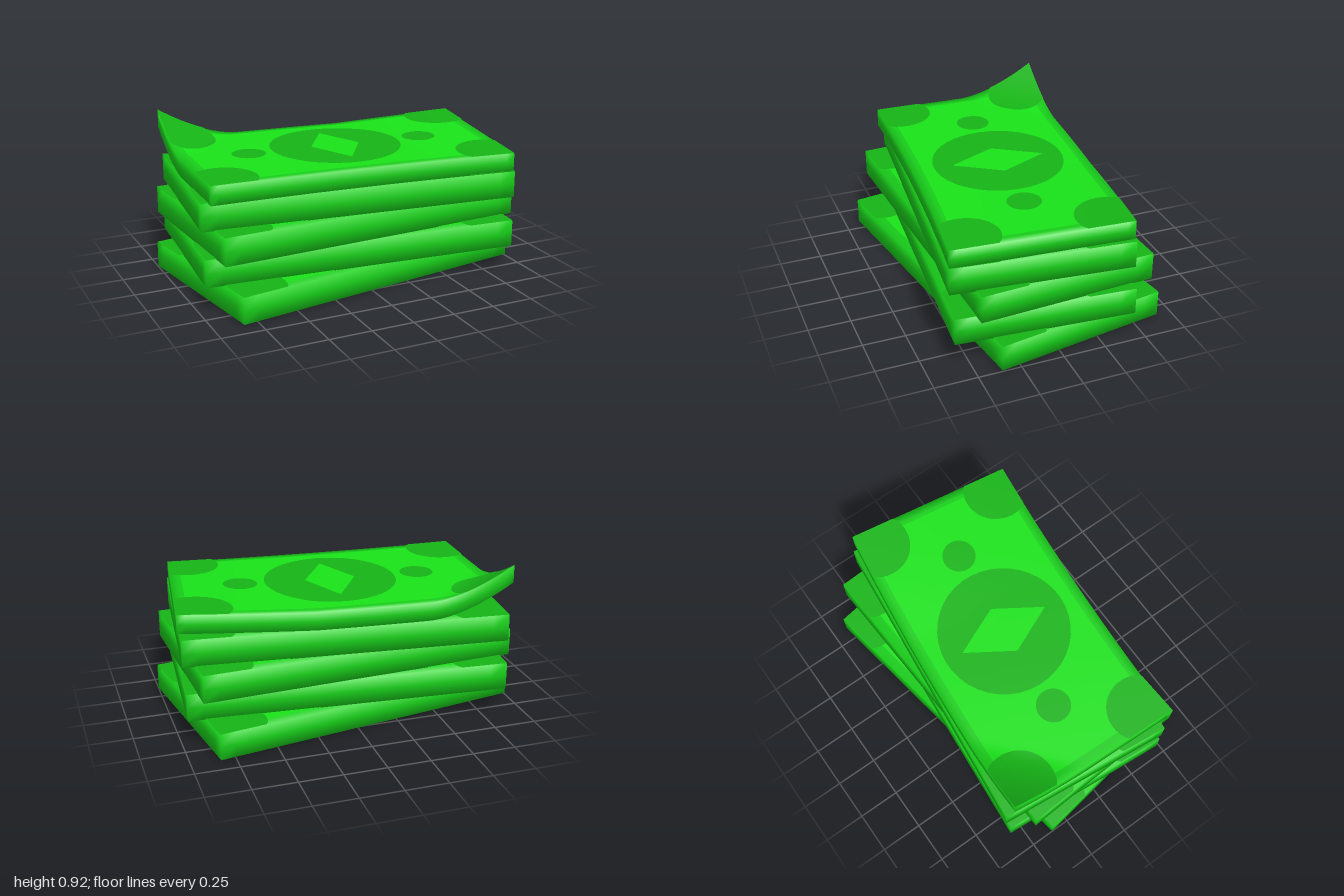
import * as THREE from 'three';
import { mergeVertices } from 'three/addons/utils/BufferGeometryUtils.js';

const W = 1.86, D = 1.034; // note size
const { lerp, clamp } = THREE.MathUtils;

const material = (name, color) => {
  const m = new THREE.MeshStandardMaterial({ color });
  m.name = name;
  return m;
};

// Moves every vertex by a rule (x, y, z) => [x, y, z]
function bend(geo, rule) {
  const p = geo.attributes.position;
  for (let i = 0; i < p.count; i++) p.setXYZ(i, ...rule(p.getX(i), p.getY(i), p.getZ(i)));
  geo.computeVertexNormals();
  return geo;
}

// Top bundle: skewed and slightly bowed outline, raised back left-hand end and a curled corner
function curl(x, y, z) {
  const s = x / W + 0.5, t = z / D + 0.5;
  const px = lerp(lerp(-0.9, 0.995, s), lerp(-0.935, 0.865, s), t);
  const pz = lerp(lerp(-0.575, -0.395, s), lerp(0.465, 0.605, s), t);
  const bow = 0.025 * (1 - (2 * s - 1) ** 2);
  const rise = 0.036 * Math.max(0, (s - 0.6) / 0.4) * (1 - t);
  const c = Math.max(0, 1 - (s * W) / 0.48 - (t * D) / 0.48);
  return [px, y + rise + 0.183 * Math.pow(c, 1.7), pz - bow];
}

// Flat disc lying face up
function disc(r, x, z, sides = 40) {
  return new THREE.RingGeometry(0, r, sides, 8).rotateX(-Math.PI / 2).translate(x, 0, z);
}

// Trims a flat plate at the edges of the note
const trim = (x, y, z) => [clamp(x, -W / 2, W / 2), y, clamp(z, -D / 2, D / 2)];

// Printed plates of one face: [name, geometry, material key, layer height]
function printedPlates() {
  const plates = [
    ['printedPanel', new THREE.PlaneGeometry(1.73, 0.92, 36, 20).rotateX(-Math.PI / 2), 'panel', 0.003],
    ['medallion', disc(0.39, 0, 0), 'print', 0.005],
    ['medallionDiamond', disc(1, 0, 0, 4).scale(0.15, 1, 0.28), 'panel', 0.007],
  ];
  for (const sx of [-1, 1]) {
    plates.push(['sideDot', disc(0.1, sx * 0.535, 0, 28), 'print', 0.005]);
    for (const sz of [-1, 1]) {
      const patch = disc(0.2, sx * (W / 2 - 0.11), sz * (D / 2 - 0.11));
      plates.push(['cornerPatch', bend(patch, trim), 'print', 0.005]);
    }
  }
  return plates;
}

function bundle(name, height, mats, rule, fine) {
  const group = new THREE.Group();
  group.name = name;
  const add = (partName, geo, mat) => {
    const mesh = new THREE.Mesh(rule ? bend(geo, rule) : geo, mat);
    mesh.name = partName;
    group.add(mesh);
  };

  // Paper block with softly shaded edges
  let block = new THREE.BoxGeometry(W, height, D, 20 * fine, 2, 12 * fine);
  block.deleteAttribute('normal');
  block.deleteAttribute('uv');
  block = mergeVertices(block);
  block.computeVertexNormals();
  add('paperBlock', block, mats.paper);

  // Print on the upper and lower faces
  for (const flip of [false, true]) {
    for (const [partName, geo, key, layer] of printedPlates()) {
      geo.translate(0, height / 2 + layer, 0);
      if (flip) geo.rotateX(Math.PI);
      add(partName, geo, mats[key]);
    }
  }
  return group;
}

export function createModel() {
  const model = new THREE.Group();
  model.name = 'banknoteStack';
  const mats = {
    paper: material('paperGreen', 0x18cd1a),
    panel: material('brightGreen', 0x19e219),
    print: material('darkGreen', 0x16b416),
  };

  // Four flat bundles, each turned a little
  const turns = [0.161, -0.08, 0.057, -0.103];
  const levels = [0.007, 0.157, 0.313, 0.47, 0.625];
  turns.forEach((turn, i) => {
    const h = levels[i + 1] - levels[i];
    const b = bundle('bundle' + (i + 1), h, mats, null, 1);
    b.position.y = levels[i] + h / 2;
    b.rotation.y = turn;
    model.add(b);
  });

  // Curled bundle on top
  const top = bundle('curledBundle', 0.106, mats, curl, 2);
  top.position.y = levels[4] + 0.053;
  model.add(top);
  return model;
}
